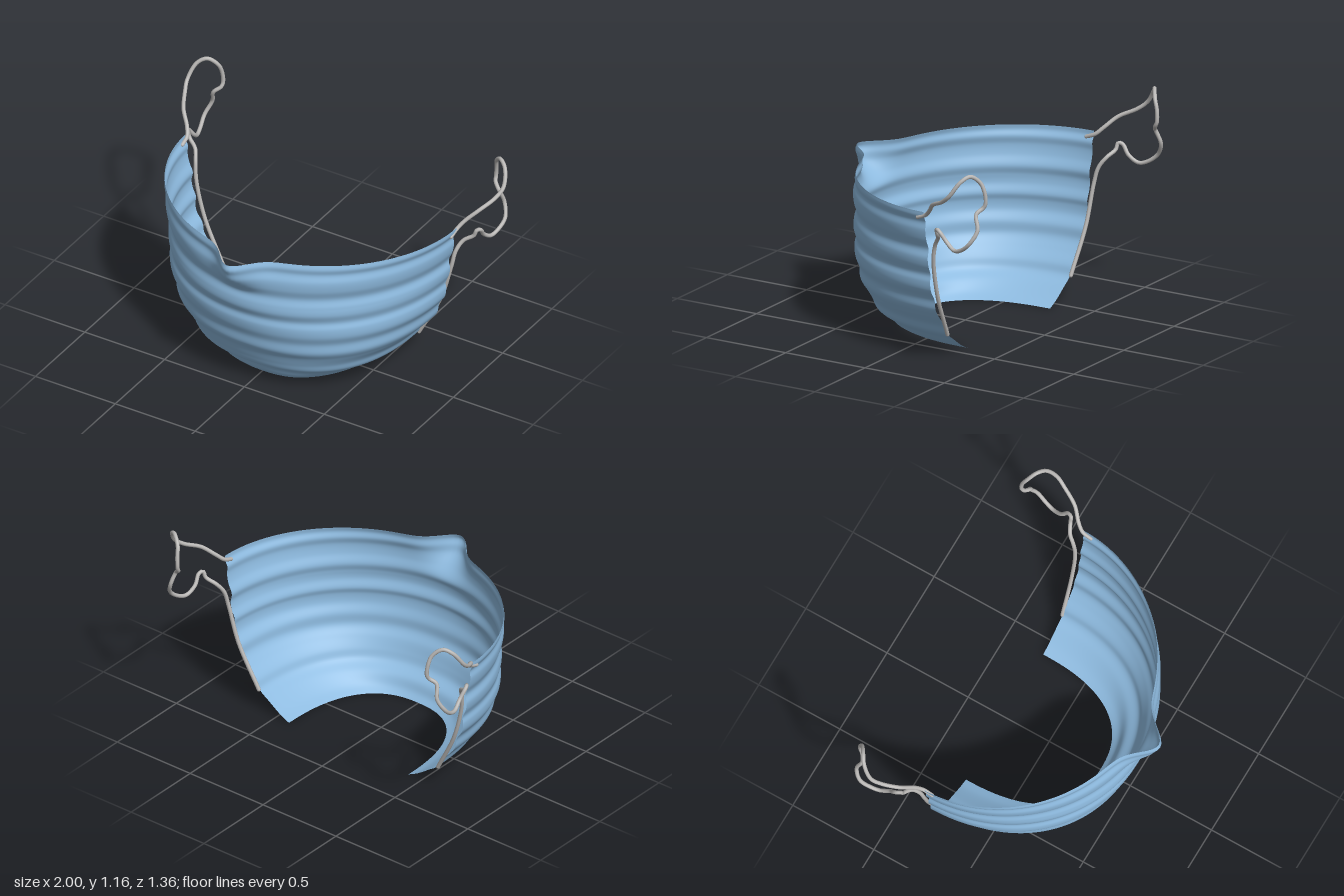
import * as THREE from 'three';

const BACK = -0.275; // z of the open rear edges

// Pleat profile, bottom to top: [half width, height, front depth]
const PROFILE = [
  [0.41, 0, 0.315], [0.47, 0.03, 0.345], [0.55, 0.085, 0.375], [0.61, 0.13, 0.435], [0.635, 0.18, 0.458],
  [0.69, 0.24, 0.482], [0.73, 0.295, 0.515], [0.742, 0.355, 0.523], [0.778, 0.415, 0.545],
  [0.786, 0.465, 0.552], [0.782, 0.505, 0.546], [0.803, 0.56, 0.566], [0.81, 0.605, 0.565],
  [0.802, 0.655, 0.551], [0.825, 0.715, 0.563], [0.835, 0.77, 0.562], [0.832, 0.815, 0.545],
  [0.848, 0.85, 0.545], [0.85, 0.877, 0.535],
];

// Ear loop path for the +x side, from lower anchor round to upper anchor
const LOOP = [
  [0.615, 0.13, -0.277], [0.74, 0.38, -0.293], [0.8, 0.6, -0.305], [0.815, 0.69, -0.325],
  [0.84, 0.745, -0.36], [0.89, 0.78, -0.386], [0.905, 0.815, -0.392], [0.915, 0.808, -0.415],
  [0.908, 0.757, -0.455], [0.92, 0.72, -0.51], [0.932, 0.732, -0.56], [0.942, 0.78, -0.62],
  [0.915, 0.855, -0.655], [0.893, 0.935, -0.633], [0.86, 0.965, -0.655], [0.855, 0.99, -0.668],
  [0.86, 1.055, -0.665], [0.873, 1.11, -0.645], [0.92, 1.15, -0.612], [0.965, 1.125, -0.58],
  [0.99, 1.045, -0.525], [0.972, 1.0, -0.47], [0.925, 0.955, -0.38], [0.87, 0.9, -0.325],
  [0.845, 0.862, -0.285], [0.842, 0.84, -0.232],
];

const toCurve = (pts, side = 1) =>
  new THREE.CatmullRomCurve3(pts.map(([x, y, z]) => new THREE.Vector3(x * side, y, z)));

// Pleated sheet: a plane bent into a rounded arc at every height
function pleatedSheet() {
  const curve = toCurve(PROFILE);
  const geo = new THREE.PlaneGeometry(1, 1, 120, 110);
  const pos = geo.attributes.position;
  const p = new THREE.Vector3();
  for (let i = 0; i < pos.count; i++) {
    const v = THREE.MathUtils.clamp(pos.getY(i) + 0.5, 0, 1);
    const t = pos.getX(i) * Math.PI;
    curve.getPoint(v, p);
    // squarer arc at the chin, plain ellipse at the top
    const n = THREE.MathUtils.lerp(2.45, 1.95, Math.min(1, p.y / 0.6));
    const x = Math.sign(t) * p.x * Math.pow(Math.abs(Math.sin(t)), 2 / n);
    let z = BACK + (p.z - BACK) * Math.pow(Math.max(0, Math.cos(t)), 2 / n);
    // raised nose bridge fading downwards
    const rise = THREE.MathUtils.smoothstep(p.y, 0.63, 0.86);
    z += 0.14 * rise * Math.exp(-(x * x) / (2 * 0.08 * 0.08));
    pos.setXYZ(i, x, p.y, z);
  }
  geo.computeVertexNormals();
  return geo;
}

export function createModel() {
  const blue = new THREE.MeshStandardMaterial({ color: 0x8ebbe0, side: THREE.DoubleSide });
  blue.name = 'blueFabric';
  const grey = new THREE.MeshStandardMaterial({ color: 0xb8b6b4 });
  grey.name = 'greyElastic';

  const model = new THREE.Group();
  model.name = 'faceMask';

  const sheet = new THREE.Mesh(pleatedSheet(), blue);
  sheet.name = 'pleatedSheet';
  model.add(sheet);

  // Elastic ear loops with rounded ends
  for (const side of [1, -1]) {
    const loop = new THREE.Group();
    loop.name = side > 0 ? 'leftEarLoop' : 'rightEarLoop';
    const path = toCurve(LOOP, side);
    const cord = new THREE.Mesh(new THREE.TubeGeometry(path, 180, 0.011, 10), grey);
    cord.name = 'elasticCord';
    loop.add(cord);
    for (const end of [0, 1]) {
      const tip = new THREE.Mesh(new THREE.SphereGeometry(0.011, 10, 8), grey);
      tip.name = 'cordEnd';
      tip.position.copy(path.getPoint(end));
      loop.add(tip);
    }
    model.add(loop);
  }
  return model;
}
